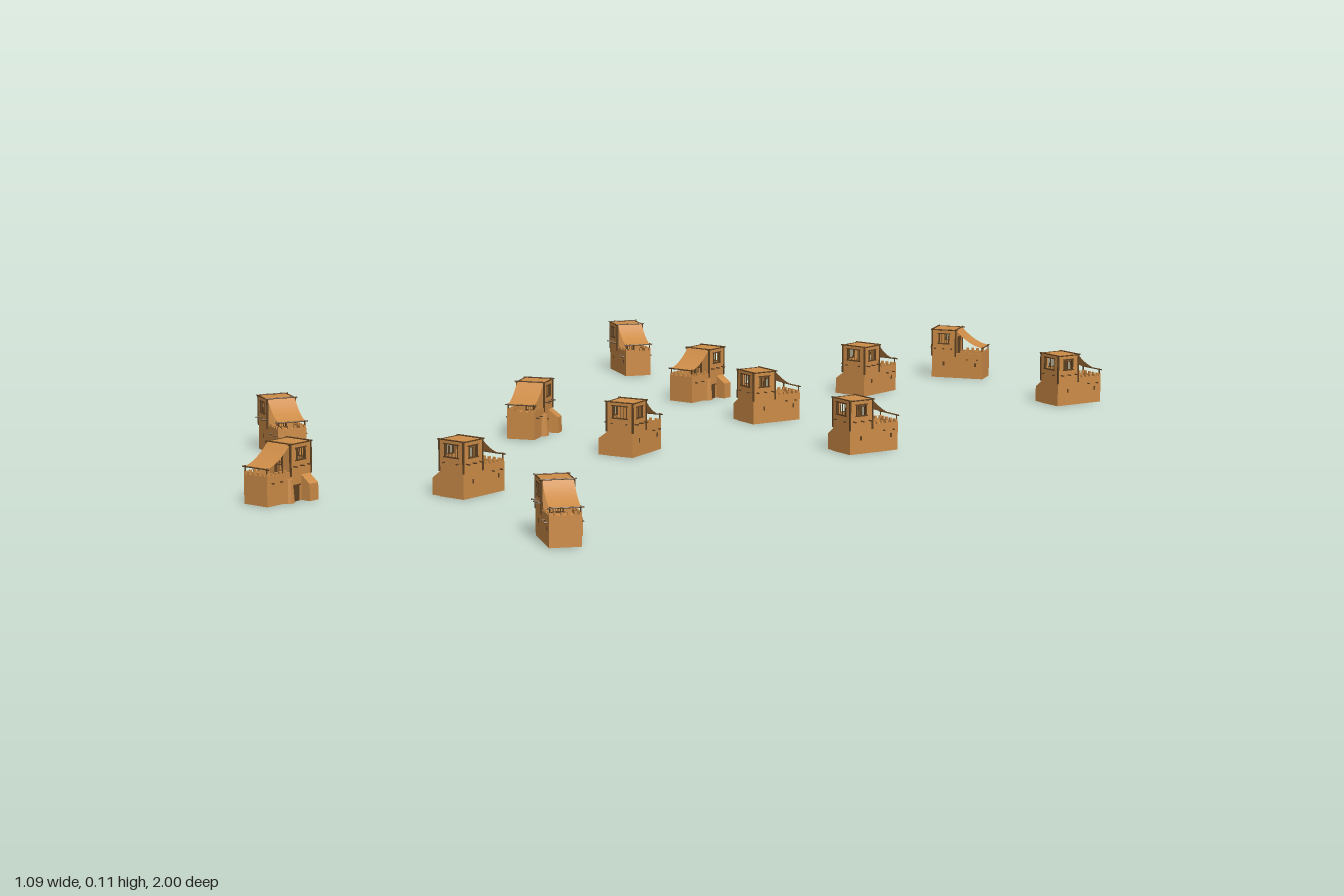
import * as THREE from 'three';

const clay = new THREE.MeshStandardMaterial({ color: 0xcd8c48, flatShading: true });
const wood = new THREE.MeshStandardMaterial({ color: 0x5f4222, flatShading: true });
const cloth = new THREE.MeshStandardMaterial({ color: 0xcd8c48, side: THREE.DoubleSide });

// House dimensions: long along z, two-storey end at +z, terrace at -z
const W = 0.056, L = 0.112, FLOOR = 0.046, TOP = 0.103, MID = 0.004;

function add(parent, name, geo, mat, x = 0, y = 0, z = 0) {
  const m = new THREE.Mesh(geo, mat);
  m.name = name;
  m.position.set(x, y, z);
  parent.add(m);
  return m;
}
const box = (p, name, mat, w, h, d, x, y, z) => add(p, name, new THREE.BoxGeometry(w, h, d), mat, x, y, z);

// Round pole between two points
function pole(p, name, a, b, r = 0.0013) {
  const va = new THREE.Vector3(...a), vb = new THREE.Vector3(...b);
  const m = add(p, name, new THREE.CylinderGeometry(r, r, va.distanceTo(vb), 6), wood);
  m.position.copy(va).add(vb).multiplyScalar(0.5);
  m.quaternion.setFromUnitVectors(new THREE.Vector3(0, 1, 0), vb.sub(va).normalize());
}

// Upper wall panel with one rectangular window; built in XY, facing +z
function windowWall(p, name, w, winW, sill, head, x, z, turn) {
  const h = TOP - FLOOR, t = 0.004;
  const s = new THREE.Shape([[-w / 2, 0], [w / 2, 0], [w / 2, h], [-w / 2, h]].map(q => new THREE.Vector2(...q)));
  const y0 = sill - FLOOR, y1 = head - FLOOR;
  s.holes.push(new THREE.Path([[-winW / 2, y0], [-winW / 2, y1], [winW / 2, y1], [winW / 2, y0]].map(q => new THREE.Vector2(...q))));
  const g = new THREE.Group();
  g.name = name;
  g.position.set(x, FLOOR, z);
  g.rotation.y = turn;
  p.add(g);
  add(g, 'wallPanel', new THREE.ExtrudeGeometry(s, { depth: t, bevelEnabled: false }), clay, 0, 0, -t);
  // frame and lattice bars
  for (const y of [y0, y1]) box(g, 'windowRail', wood, winW + 0.006, 0.002, 0.005, 0, y, -0.001);
  for (const sx of [-1, 1]) box(g, 'windowJamb', wood, 0.002, y1 - y0, 0.005, sx * winW / 2, (y0 + y1) / 2, -0.001);
  for (let i = 1; i < 4; i++) box(g, 'windowBar', wood, 0.001, y1 - y0, 0.001, winW * (i / 4 - 0.5), (y0 + y1) / 2, -0.002);
}

function makeHouse() {
  const h = new THREE.Group();
  h.name = 'house';
  box(h, 'groundFloor', clay, W, FLOOR, L, 0, FLOOR / 2, 0);

  // Upper room
  const depth = L / 2 - MID, zc = (L / 2 + MID) / 2;
  windowWall(h, 'frontWall', W, 0.03, 0.073, 0.097, 0, L / 2, 0);
  windowWall(h, 'terraceWall', W, 0.018, 0.048, 0.086, 0, MID, Math.PI);
  windowWall(h, 'leftWall', depth, 0.022, 0.073, 0.095, W / 2, zc, Math.PI / 2);
  windowWall(h, 'rightWall', depth, 0.022, 0.073, 0.095, -W / 2, zc, -Math.PI / 2);
  box(h, 'roof', clay, W, 0.004, depth, 0, TOP - 0.002, zc);

  // Corner posts and eave rails
  for (const x of [-W / 2, W / 2]) {
    for (const z of [MID, L / 2]) box(h, 'cornerPost', wood, 0.003, TOP - FLOOR, 0.003, x, (TOP + FLOOR) / 2, z);
    pole(h, 'eaveRail', [x, TOP, MID - 0.005], [x, TOP, L / 2 + 0.003]);
  }
  for (const z of [MID, L / 2]) pole(h, 'roofBeam', [-W / 2 - 0.004, TOP + 0.001, z], [W / 2 + 0.004, TOP + 0.001, z]);

  // Floor beams poking through the walls
  for (const z of [0.012, 0.03, 0.048]) pole(h, 'floorBeam', [-W / 2 - 0.009, 0.063, z], [W / 2 + 0.009, 0.063, z]);
  for (const z of [-0.044, -0.022]) pole(h, 'terraceBeam', [-W / 2 - 0.006, 0.041, z], [W / 2 + 0.006, 0.041, z]);
  for (const x of [-0.016, 0.016]) pole(h, 'endBeam', [x, 0.063, L / 2 - 0.01], [x, 0.063, L / 2 + 0.006]);

  // Terrace parapet with small merlons
  const sideLen = L / 2 + MID;
  for (const s of [-1, 1]) {
    box(h, 'sideParapet', clay, 0.004, 0.008, sideLen, s * (W / 2 - 0.002), FLOOR + 0.004, MID - sideLen / 2);
    for (let i = 0; i < 5; i++) box(h, 'merlon', clay, 0.004, 0.005, 0.005, s * (W / 2 - 0.002), FLOOR + 0.0105, -0.053 + i * 0.011);
  }
  box(h, 'endParapet', clay, W, 0.008, 0.004, 0, FLOOR + 0.004, -L / 2 + 0.002);
  for (let i = 0; i < 4; i++) box(h, 'merlon', clay, 0.005, 0.005, 0.004, -0.018 + i * 0.012, FLOOR + 0.0105, -L / 2 + 0.002);

  // Sagging awning from the roof edge down to two posts
  const awning = new THREE.PlaneGeometry(W - 0.002, 1, 6, 8);
  const pos = awning.attributes.position;
  for (let i = 0; i < pos.count; i++) {
    const t = 0.5 - pos.getY(i);
    pos.setY(i, TOP - 0.036 * t - 0.028 * t * (1 - t));
    pos.setZ(i, MID - t * (L / 2 + MID));
  }
  awning.computeVertexNormals();
  add(h, 'awning', awning, cloth);
  for (const s of [-1, 1]) pole(h, 'awningPost', [s * 0.026, FLOOR, -L / 2 + 0.002], [s * 0.026, 0.069, -L / 2 + 0.002]);
  pole(h, 'awningRail', [-W / 2 - 0.004, 0.067, -L / 2 + 0.001], [W / 2 + 0.004, 0.067, -L / 2 + 0.001]);

  // Low side annex with a sloping top
  const profile = new THREE.Shape([[0, 0], [0, 0.046], [-0.02, 0.031], [-0.02, 0]].map(q => new THREE.Vector2(...q)));
  add(h, 'annex', new THREE.ExtrudeGeometry(profile, { depth: 0.022, bevelEnabled: false }), clay, -W / 2, 0, 0.031);

  // Rounded oven against the same wall
  add(h, 'oven', new THREE.CylinderGeometry(0.008, 0.011, 0.042, 10), clay, -W / 2, 0.021, -0.002);

  // Door, lintel and slit windows on the ground floor
  box(h, 'door', wood, 0.001, 0.028, 0.014, -W / 2, 0.014, 0.018);
  box(h, 'doorLintel', wood, 0.004, 0.002, 0.019, -W / 2, 0.029, 0.018);
  for (const z of [-0.04, 0.03]) box(h, 'slitWindow', wood, 0.001, 0.008, 0.004, W / 2, 0.03, z);
  return h;
}

// x, z, turn in degrees
const PLACES = [
  [0.14, -0.957, -75], [0.495, -0.793, -23], [-0.48, -0.6, -127], [0.087, -0.666, -5],
  [-0.166, -0.394, 178], [0.1, -0.257, -23], [0.435, -0.078, -23], [-0.193, 0.15, -162],
  [0.084, 0.19, 6], [-0.465, 0.572, -120], [0.081, 0.69, -3], [-0.16, 0.94, 177],
  [0.453, 0.936, -132],
];

export function createModel() {
  const village = new THREE.Group();
  village.name = 'village';
  const house = makeHouse();
  for (const [x, z, deg] of PLACES) {
    const h = house.clone();
    h.position.set(x, 0, z);
    h.rotation.y = THREE.MathUtils.degToRad(deg);
    village.add(h);
  }
  return village;
}
